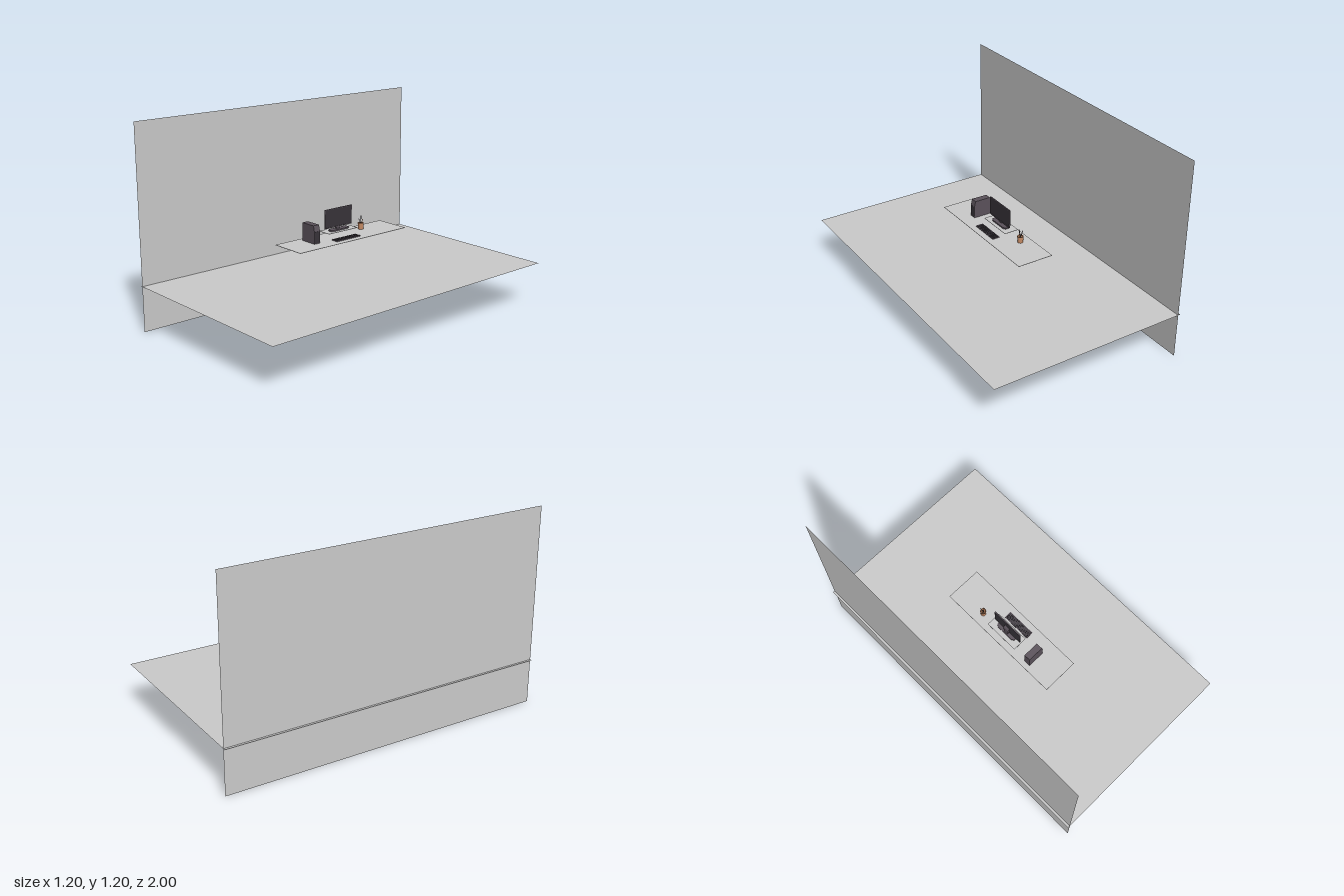
import * as THREE from 'three';

export function createModel() {
  const model = new THREE.Group();
  const material = (color, extra = {}) => new THREE.MeshStandardMaterial({ color, ...extra });
  const grey = material(0xcccccc, { side: THREE.DoubleSide });
  const casing = material(0x5b525b);
  const dark = material(0x38343a);
  const clay = material(0xc98d66, { side: THREE.DoubleSide });

  const add = (name, geometry, mat, x = 0, y = 0, z = 0, parent = model) => {
    const mesh = new THREE.Mesh(geometry, mat);
    mesh.name = name;
    mesh.position.set(x, y, z);
    parent.add(mesh);
    return mesh;
  };
  const box = (w, h, d) => new THREE.BoxGeometry(w, h, d);
  const group = (name) => {
    const g = new THREE.Group();
    g.name = name;
    model.add(g);
    return g;
  };
  // Extrudes an outline of x, y points along z
  const extrude = (points, depth) => new THREE.ExtrudeGeometry(
    new THREE.Shape(points.map(([x, y]) => new THREE.Vector2(x, y))),
    { depth, bevelEnabled: false });

  const deskY = 0.487, shelfY = 0.52, midZ = -0.008;

  // Room planes
  add('floor', new THREE.PlaneGeometry(1.2, 2).rotateX(-Math.PI / 2), grey, 0, 0.27, 0);
  add('wall', new THREE.PlaneGeometry(2, 1.2).rotateY(Math.PI / 2), grey, -0.586, 0.6, 0);

  // Thin desk top and raised monitor shelf
  add('deskTop', box(0.222, 0.002, 0.8), grey, -0.051, deskY - 0.001, -0.012);
  add('monitorShelf', box(0.09, 0.002, 0.217), grey, -0.085, shelfY - 0.001, -0.013);

  // Monitor facing +x, with a sunken screen inside its bezel
  const monitor = group('monitor');
  const frame = new THREE.Shape();
  frame.moveTo(-0.101, -0.056).lineTo(0.101, -0.056).lineTo(0.101, 0.056).lineTo(-0.101, 0.056).closePath();
  const opening = new THREE.Path();
  opening.moveTo(-0.097, -0.051).lineTo(-0.097, 0.052).lineTo(0.097, 0.052).lineTo(0.097, -0.051).closePath();
  frame.holes.push(opening);
  const bezel = new THREE.ExtrudeGeometry(frame, { depth: 0.007, bevelEnabled: false });
  add('bezel', bezel.rotateY(Math.PI / 2), casing, -0.084, 0.596, midZ, monitor);
  add('screen', box(0.005, 0.111, 0.2), dark, -0.0813, 0.596, midZ, monitor);
  const hump = extrude([[-0.083, 0.548], [-0.083, 0.606], [-0.087, 0.604], [-0.095, 0.592], [-0.095, 0.556]], 0.036);
  add('rearHousing', hump, casing, 0, 0, midZ - 0.018, monitor);
  const neck = extrude([[-0.096, 0.526], [-0.082, 0.526], [-0.083, 0.565], [-0.093, 0.575]], 0.024);
  add('neck', neck, casing, 0, 0, midZ - 0.012, monitor);
  const base = extrude([[-0.011, -0.069], [0.011, -0.069], [0.02, -0.054], [0.02, 0.054],
    [0.011, 0.069], [-0.011, 0.069], [-0.02, 0.054], [-0.02, -0.054]], 0.008);
  add('base', base.rotateX(-Math.PI / 2), casing, -0.082, shelfY, -0.012, monitor);

  // Keyboard with rows of keys
  const keyboard = group('keyboard');
  add('keyboardBody', box(0.046, 0.004, 0.18), casing, -0.001, deskY + 0.002, 0, keyboard);
  for (let row = 0; row < 4; row++) {
    for (let col = 0; col < 14; col++) {
      add('key', box(0.0085, 0.002, 0.0105), dark,
        -0.0165 + row * 0.0103, deskY + 0.005, -0.0806 + col * 0.0124, keyboard);
    }
  }

  // Computer tower with a sloped upper front
  const tower = group('tower');
  add('towerCase', extrude([[-0.13, deskY], [-0.024, deskY], [-0.024, 0.56], [-0.032, 0.593], [-0.13, 0.593]], 0.04),
    casing, 0, 0, 0.178, tower);
  add('towerFrontPanel', box(0.001, 0.066, 0.032), dark, -0.0238, 0.524, 0.198, tower);

  // Clay cup holding pens
  const cup = group('penCup');
  const profile = [[0, 0], [0.016, 0], [0.018, 0.038], [0.0155, 0.038], [0.014, 0.003], [0, 0.003]]
    .map(([x, y]) => new THREE.Vector2(x, y));
  add('cup', new THREE.LatheGeometry(profile, 12), material(0xc98d66, { side: THREE.DoubleSide, flatShading: true }),
    -0.095, deskY, -0.196, cup);
  const pens = [[0.006, 0.004, 0.083, dark], [-0.007, -0.009, 0.078, dark],
    [-0.003, 0.01, 0.066, casing], [0.009, -0.004, 0.06, clay]];
  for (const [dx, dz, top, mat] of pens) {
    const path = new THREE.LineCurve3(new THREE.Vector3(-dx * 0.6, 0.005, -dz * 0.6), new THREE.Vector3(dx * 1.3, top, dz * 1.3));
    add('pen', new THREE.TubeGeometry(path, 1, 0.0018, 6), mat, -0.095, deskY, -0.196, cup);
  }

  return model;
}
